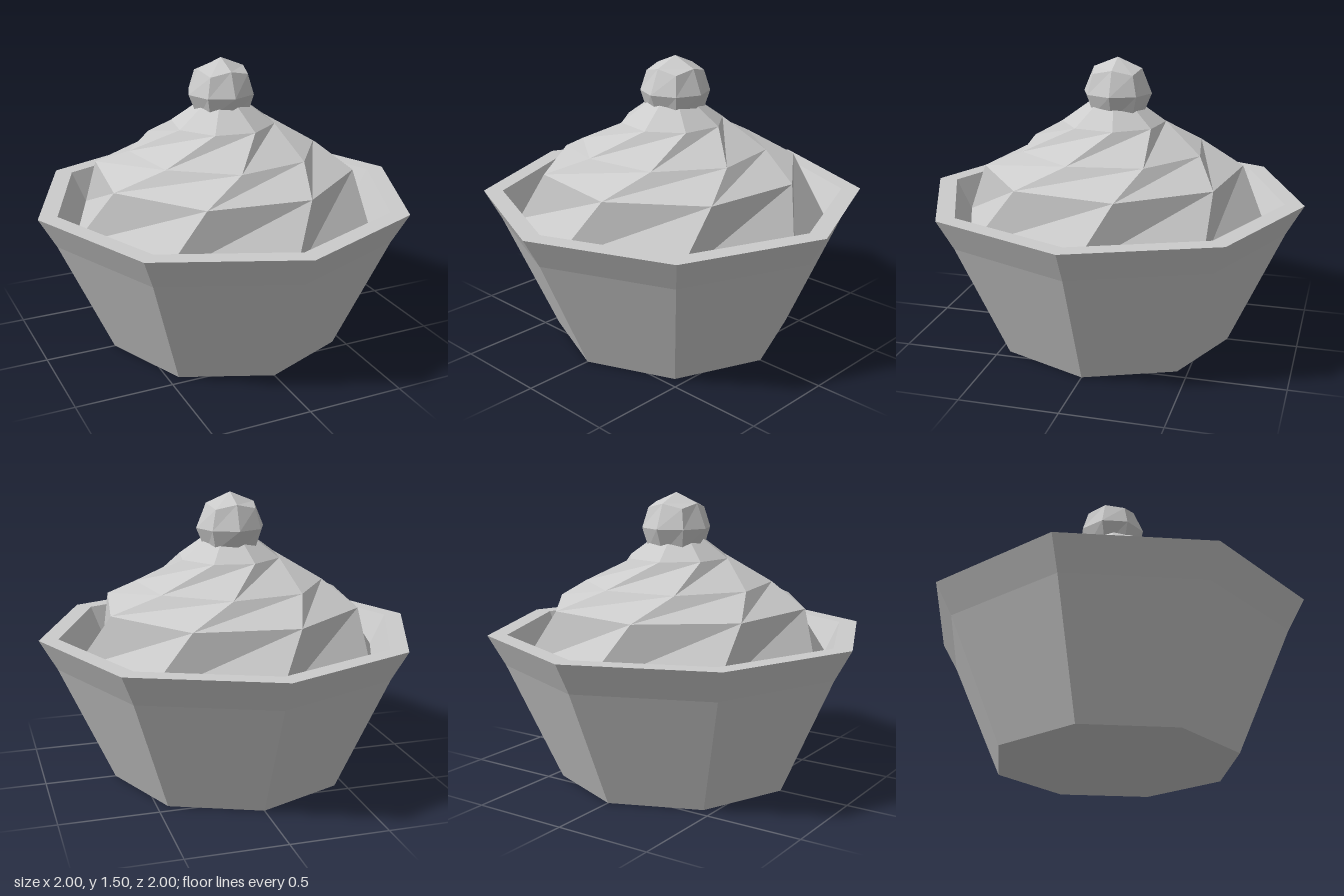
import * as THREE from 'three';

const SIDES = 8;

function part(name, geometry) {
  const material = new THREE.MeshStandardMaterial({ color: 0xcccccc, flatShading: true });
  const mesh = new THREE.Mesh(geometry, material);
  mesh.name = name;
  return mesh;
}

// Eight-sided rings joined by a twisting skin, folded along the long diagonals
function swirlGeometry(rings) {
  const point = ([radius, y, degrees], k) => {
    const a = THREE.MathUtils.degToRad(degrees + (k * 360) / SIDES);
    return [radius * Math.cos(a), y, radius * Math.sin(a)];
  };
  const positions = [];
  for (let i = 0; i < rings.length - 1; i++) {
    const last = rings[i + 1][0] === 0;
    for (let k = 0; k < SIDES; k++) {
      const a = point(rings[i], k);
      const b = point(rings[i], k + 1);
      const c = point(rings[i + 1], k);
      const d = point(rings[i + 1], k + 1);
      positions.push(...b, ...a, ...c);
      if (!last) positions.push(...b, ...c, ...d);
    }
  }
  const geometry = new THREE.BufferGeometry();
  geometry.setAttribute('position', new THREE.Float32BufferAttribute(positions, 3));
  geometry.computeVertexNormals();
  return geometry;
}

// Cube with split faces pushed out onto a sphere
function cubeSphere(radius) {
  const geometry = new THREE.BoxGeometry(1, 1, 1, 2, 2, 2);
  const pos = geometry.attributes.position;
  const v = new THREE.Vector3();
  for (let i = 0; i < pos.count; i++) {
    v.fromBufferAttribute(pos, i).setLength(radius);
    pos.setXYZ(i, v.x, v.y, v.z);
  }
  geometry.computeVertexNormals();
  return geometry;
}

export function createModel() {
  const group = new THREE.Group();
  group.name = 'cupcake';

  // Flared octagonal cup with a flat rim and a short inner wall
  const profile = [[0, 0], [0.63, 0], [0.91, 0.62], [1, 0.78], [0.9, 0.78], [0.82, 0.62]];
  const cup = new THREE.LatheGeometry(profile.map(([x, y]) => new THREE.Vector2(x, y)), SIDES);
  group.add(part('cup', cup));

  // Frosting rings: radius, height, turn in degrees
  group.add(part('frosting', swirlGeometry([
    [0.82, 0.62, 0],
    [0.68, 0.925, -14.5],
    [0.49, 1.035, -31.5],
    [0.27, 1.166, -58],
    [0, 1.36, -58],
  ])));

  // Cherry on top
  const cherry = part('cherry', cubeSphere(0.18));
  cherry.position.set(0, 1.32, -0.02);
  group.add(cherry);

  return group;
}
